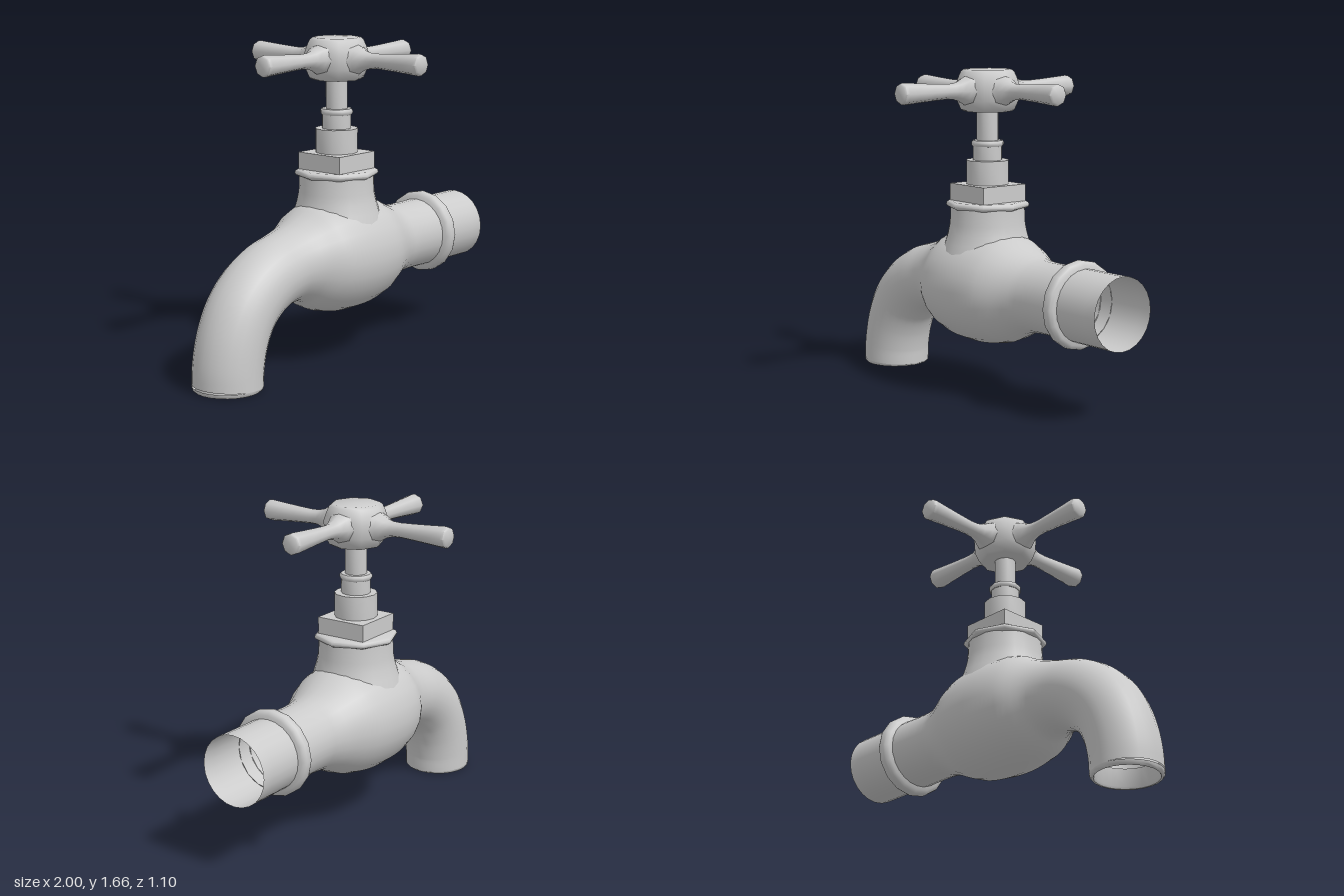
import * as THREE from 'three';
import { toCreasedNormals } from 'three/addons/utils/BufferGeometryUtils.js';

const AXIS_X = -0.015; // x of the valve's vertical axis
const PIPE_Y = 0.545; // height of the pipe's centre line
const HANDLE_Y = 1.553;

const material = new THREE.MeshStandardMaterial({ color: 0xcccccc, side: THREE.DoubleSide });

function addMesh(parent, name, geometry) {
  const mesh = new THREE.Mesh(geometry, material);
  mesh.name = name;
  parent.add(mesh);
  return mesh;
}

// Turned part from [radius, height] pairs, sharp where the profile bends hard
function turned(profile, sides, crease = 0.6) {
  const points = profile.map(([r, y]) => new THREE.Vector2(r, y));
  return toCreasedNormals(new THREE.LatheGeometry(points, sides), crease);
}

// Round tube through [x, y, radius] stations lying in the xy plane
function loftedTube(stations, steps, sides) {
  const curve = new THREE.CatmullRomCurve3(stations.map((s) => new THREE.Vector3(...s)), false, 'centripetal');
  const positions = [];
  const index = [];
  for (let i = 0; i <= steps; i++) {
    const p = curve.getPoint(i / steps);
    const t = curve.getTangent(i / steps);
    const length = Math.hypot(t.x, t.y);
    for (let j = 0; j < sides; j++) {
      const angle = (j / sides) * Math.PI * 2;
      const n = Math.cos(angle) * p.z;
      positions.push(p.x - (t.y / length) * n, p.y + (t.x / length) * n, Math.sin(angle) * p.z);
      if (i < steps) {
        const a = i * sides + j;
        const b = i * sides + ((j + 1) % sides);
        index.push(a, b, a + sides, b, b + sides, a + sides);
      }
    }
  }
  const geometry = new THREE.BufferGeometry();
  geometry.setAttribute('position', new THREE.Float32BufferAttribute(positions, 3));
  geometry.setIndex(index);
  geometry.computeVertexNormals();
  return geometry;
}

export function createModel() {
  const tap = new THREE.Group();
  tap.name = 'tap';

  // Inlet pipe, bulbous body and curved spout as one continuous tube
  addMesh(tap, 'body', loftedTube([
    [1, PIPE_Y, 0.182], [0.7, PIPE_Y, 0.182], [0.42, PIPE_Y, 0.184], [0.34, PIPE_Y, 0.205],
    [0.2, PIPE_Y, 0.268], [0.1, PIPE_Y, 0.29], [-0.015, PIPE_Y, 0.298], [-0.13, PIPE_Y, 0.29],
    [-0.23, PIPE_Y, 0.265], [-0.34, PIPE_Y, 0.205], [-0.42, 0.537, 0.183], [-0.53, 0.51, 0.178],
    [-0.64, 0.45, 0.177], [-0.73, 0.36, 0.177], [-0.79, 0.24, 0.177], [-0.82, 0.11, 0.177],
    [-0.825, 0.02, 0.177],
  ], 64, 24));

  // Rounded lip and inner wall of the spout
  const lip = addMesh(tap, 'spoutLip', turned(
    [[0.148, 0.1], [0.152, 0.012], [0.158, 0], [0.168, 0], [0.175, 0.008], [0.177, 0.022]], 24, 1));
  lip.position.x = -0.825;

  // Collar around the inlet pipe
  const collar = addMesh(tap, 'inletCollar', turned(
    [[0.18, -0.043], [0.2, -0.036], [0.217, -0.024], [0.221, -0.012], [0.221, 0.014],
      [0.215, 0.026], [0.2, 0.034], [0.18, 0.038]], 16, 0.8));
  collar.rotation.z = -Math.PI / 2;
  collar.position.set(0.695, PIPE_Y, 0);

  // Valve stack on the vertical axis
  const valve = new THREE.Group();
  valve.name = 'valve';
  valve.position.x = AXIS_X;
  tap.add(valve);

  addMesh(valve, 'neck', turned(
    [[0.255, 0.64], [0.245, 0.69], [0.234, 0.73], [0.22, 0.77], [0.205, 0.82], [0.195, 0.87], [0.191, 0.96]], 24));
  addMesh(valve, 'flange', turned(
    [[0, 0.948], [0.195, 0.948], [0.211, 0.956], [0.215, 0.966], [0.211, 0.978], [0.198, 0.985], [0, 0.985]], 8, 0.9));
  const nut = addMesh(valve, 'squareNut', new THREE.BoxGeometry(0.276, 0.09, 0.276));
  nut.position.y = 1.027;
  addMesh(valve, 'bonnet', turned([[0, 1.06], [0.11, 1.06], [0.11, 1.195], [0, 1.195]], 12));
  addMesh(valve, 'gland', turned([[0.075, 1.19], [0.075, 1.275]], 12));
  addMesh(valve, 'glandRing', turned(
    [[0.05, 1.266], [0.078, 1.266], [0.084, 1.275], [0.084, 1.286], [0.077, 1.296], [0.05, 1.296]], 12, 0.9));
  addMesh(valve, 'stem', turned([[0.056, 1.28], [0.056, 1.46]], 12));

  // Cross handle: faceted hub with four flared arms
  const handle = new THREE.Group();
  handle.name = 'crossHandle';
  handle.position.y = HANDLE_Y;
  valve.add(handle);
  addMesh(handle, 'hub', turned(
    [[0, -0.108], [0.125, -0.108], [0.138, -0.1], [0.16, -0.05], [0.165, 0.02], [0.152, 0.06],
      [0.137, 0.094], [0.122, 0.105], [0, 0.105]], 8, 0.9));
  const armGeometry = turned(
    [[0.085, 0.12], [0.07, 0.155], [0.05, 0.19], [0.04, 0.225], [0.038, 0.27], [0.043, 0.36],
      [0.05, 0.46], [0.055, 0.525], [0.053, 0.543], [0.045, 0.551], [0, 0.551]], 8, 0.9);
  for (let i = 0; i < 4; i++) {
    const pivot = new THREE.Group();
    pivot.name = 'handleArm';
    pivot.rotation.y = (i * Math.PI) / 2;
    handle.add(pivot);
    addMesh(pivot, 'arm', armGeometry).rotation.z = -Math.PI / 2;
  }
  return tap;
}
